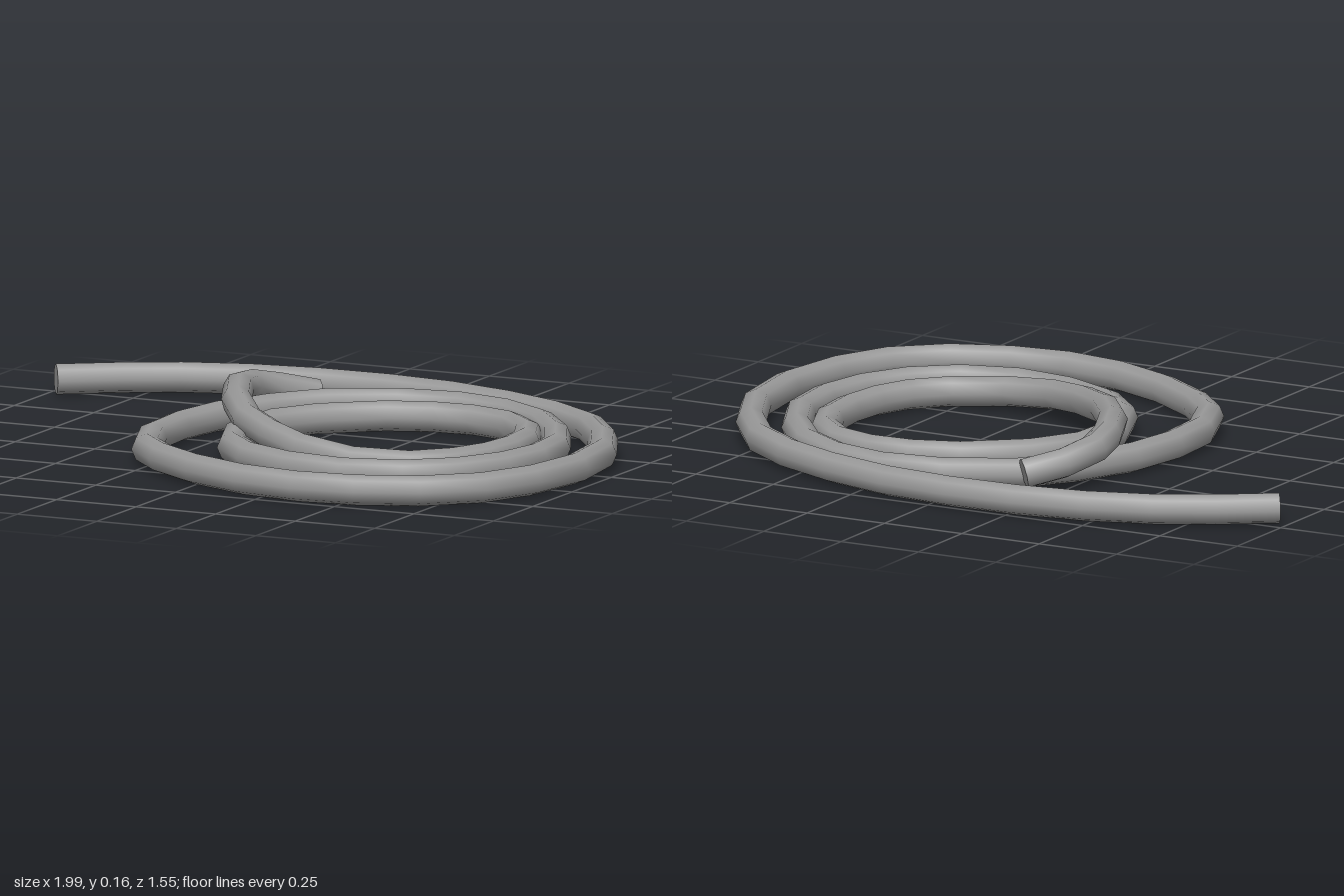
import * as THREE from 'three';

const RADIUS = 0.044;

// Centre line of the rope as [x, z], one array per turn, lying on the ground
const outerTurn = [
  [-0.97, -0.455], [-0.82, -0.557], [-0.665, -0.64], [-0.48, -0.70], [-0.275, -0.73], [-0.065, -0.733],
  [0.15, -0.71], [0.36, -0.65], [0.55, -0.565], [0.71, -0.45], [0.83, -0.29], [0.92, -0.10],
  [0.953, 0.135], [0.92, 0.355], [0.845, 0.52], [0.71, 0.64], [0.545, 0.705], [0.37, 0.725],
  [0.185, 0.695], [0, 0.615], [-0.16, 0.505], [-0.265, 0.395], [-0.33, 0.23], [-0.34, 0.045],
];
const middleTurn = [
  [-0.31, -0.14], [-0.23, -0.31], [-0.12, -0.455], [0.06, -0.55], [0.245, -0.575], [0.41, -0.535],
  [0.565, -0.435], [0.685, -0.285], [0.765, -0.12], [0.785, 0.05], [0.755, 0.205], [0.68, 0.34],
  [0.56, 0.44], [0.395, 0.485], [0.215, 0.46], [0.055, 0.385], [-0.06, 0.265],
];
const innerTurn = [
  [-0.13, 0.09], [-0.12, -0.10], [-0.04, -0.235], [0.115, -0.36], [0.245, -0.405], [0.37, -0.41],
  [0.50, -0.37], [0.60, -0.275], [0.65, -0.16], [0.665, -0.025], [0.65, 0.10], [0.605, 0.21], [0.515, 0.305],
];
// Free end that climbs over the other turns, as [x, z, height]
const raisedEnd = [
  [0.36, 0.355, 0.052], [0.19, 0.325, 0.069], [0.055, 0.245, 0.085], [-0.08, 0.13, 0.10],
  [-0.195, -0.035, 0.116], [-0.275, -0.21, 0.119], [-0.295, -0.32, 0.107], [-0.255, -0.425, 0.083],
  [-0.17, -0.50, 0.058],
];

export function createModel() {
  const group = new THREE.Group();
  group.name = 'coiledRope';
  const grey = new THREE.MeshStandardMaterial({ color: 0x999999 });
  grey.name = 'grey';

  const points = [...outerTurn, ...middleTurn, ...innerTurn, ...raisedEnd]
    .map(([x, z, y = RADIUS]) => new THREE.Vector3(x, y, z));
  const curve = new THREE.CatmullRomCurve3(points);
  // Place one ring exactly at every listed point
  curve.getPointAt = (t, target) => curve.getPoint(t, target);
  curve.getTangentAt = (t, target) => curve.getTangent(t, target);

  const rope = new THREE.Mesh(new THREE.TubeGeometry(curve, points.length - 1, RADIUS, 8, false), grey);
  rope.name = 'rope';
  group.add(rope);

  // Flat cut at each end
  for (const [t, name] of [[0, 'outerEndCap'], [1, 'raisedEndCap']]) {
    const cap = new THREE.Mesh(new THREE.CircleGeometry(RADIUS, 8), grey);
    const outward = curve.getTangent(t).multiplyScalar(t ? 1 : -1);
    cap.position.copy(curve.getPoint(t));
    cap.lookAt(cap.position.clone().add(outward));
    cap.name = name;
    group.add(cap);
  }
  return group;
}
